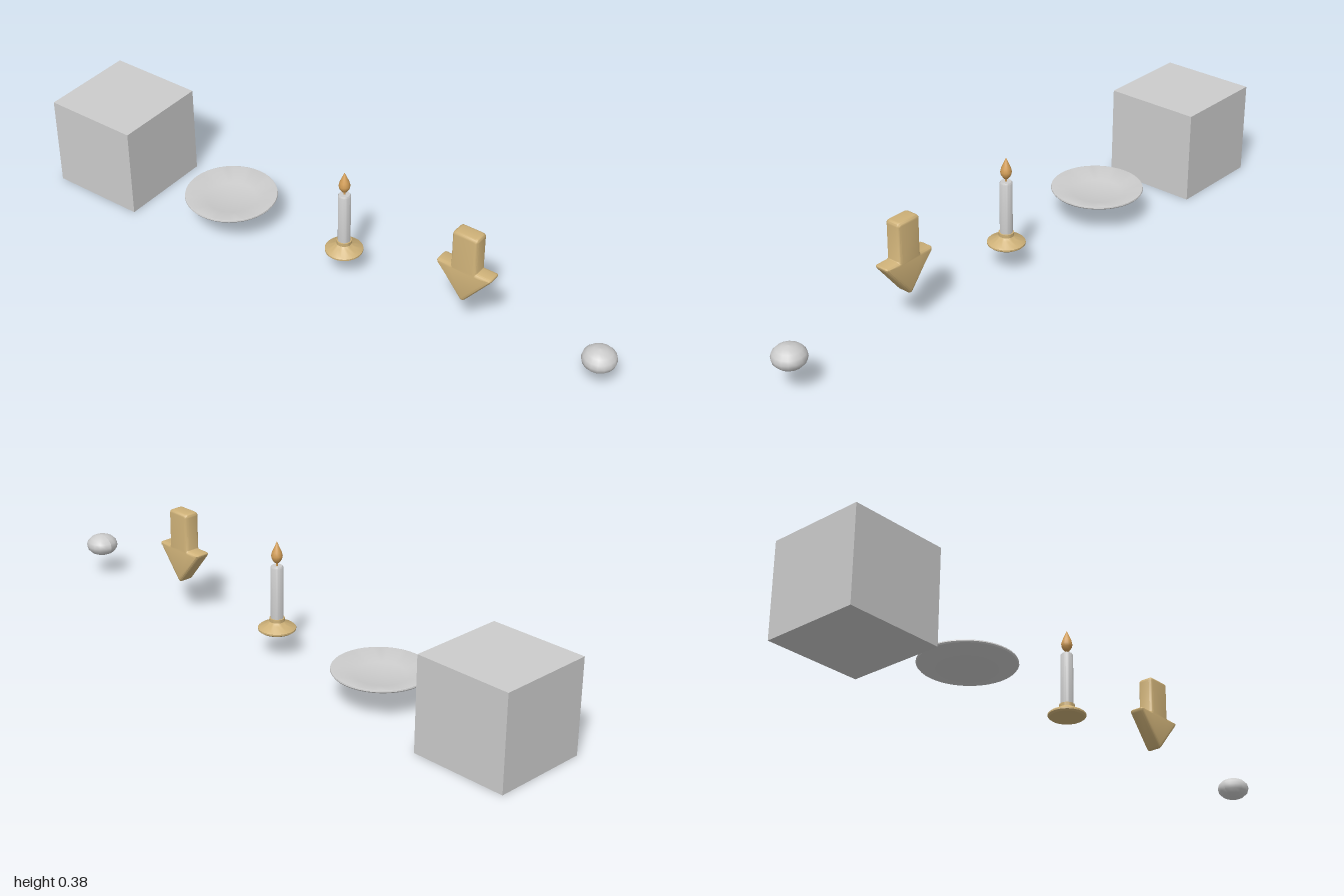
import * as THREE from 'three';
import { toCreasedNormals } from 'three/addons/utils/BufferGeometryUtils.js';

const material = (name, color) => {
  const m = new THREE.MeshStandardMaterial({ color });
  m.name = name;
  return m;
};

// Smooth lathe with sharp rims
const turned = (points, segments) => toCreasedNormals(
  new THREE.LatheGeometry(points.map(([r, y]) => new THREE.Vector2(r, y)), segments), 0.6);

// Closed outline whose corners are rounded by a given distance
function roundedShape(corners) {
  const shape = new THREE.Shape();
  corners.forEach(([x, y, d], i) => {
    const n = corners.length;
    const p = new THREE.Vector2(x, y);
    const toward = ([qx, qy]) => new THREE.Vector2(qx, qy).sub(p).setLength(d).add(p);
    const a = toward(corners[(i + n - 1) % n]);
    const b = toward(corners[(i + 1) % n]);
    if (i === 0) shape.moveTo(a.x, a.y);
    else shape.lineTo(a.x, a.y);
    shape.quadraticCurveTo(x, y, b.x, b.y);
  });
  shape.closePath();
  return shape;
}

export function createModel() {
  const grey = material('light grey', 0xcccccc);
  const gold = material('gold', 0xceb178);
  const amber = material('flame amber', 0xd49f58);

  const model = new THREE.Group();
  const add = (parent, name, geometry, mat, x = 0, y = 0, z = 0) => {
    const mesh = new THREE.Mesh(geometry, mat);
    mesh.name = name;
    mesh.position.set(x, y, z);
    parent.add(mesh);
    return mesh;
  };

  // Block
  add(model, 'block', new THREE.BoxGeometry(0.32, 0.305, 0.32), grey, -0.84, 0.1525);

  // Shallow dish with a flat well
  add(model, 'plate', turned([
    [0, 0.082], [0.08, 0.082], [0.147, 0.1], [0.15, 0.104], [0.149, 0.108],
    [0.145, 0.109], [0.08, 0.09], [0, 0.09],
  ], 40), grey, -0.395);

  // Candle in its holder
  const candle = new THREE.Group();
  candle.name = 'candleStand';
  candle.position.x = 0.053;
  model.add(candle);
  add(candle, 'holder', turned([
    [0, 0.083], [0.054, 0.083], [0.06, 0.088], [0.06, 0.093], [0.054, 0.098],
    [0.032, 0.107], [0.024, 0.115], [0.024, 0.126], [0, 0.126],
  ], 28), gold);
  add(candle, 'wax', turned([
    [0.02, 0.12], [0.02, 0.295], [0.017, 0.3], [0, 0.3],
  ], 24), grey);
  add(candle, 'wick', new THREE.CylinderGeometry(0.003, 0.003, 0.02, 8), amber, 0, 0.307);
  add(candle, 'flame', new THREE.LatheGeometry([
    [0, 0.306], [0.009, 0.312], [0.016, 0.323], [0.018, 0.333], [0.015, 0.346],
    [0.008, 0.362], [0, 0.38],
  ].map(([r, y]) => new THREE.Vector2(r, y)), 16), amber);

  // Rounded arrow pointing down
  const outline = roundedShape([
    [-0.043, 0.36, 0.012], [-0.043, 0.235, 0.003], [-0.1, 0.235, 0.018],
    [0, 0.112, 0.014],
    [0.1, 0.235, 0.018], [0.043, 0.235, 0.003], [0.043, 0.36, 0.012],
  ]);
  const arrow = new THREE.ExtrudeGeometry(outline, {
    depth: 0.034, curveSegments: 5, bevelEnabled: true,
    bevelThickness: 0.01, bevelSize: 0.01, bevelOffset: -0.01, bevelSegments: 3,
  });
  add(model, 'arrow', toCreasedNormals(arrow, 0.7), gold, 0.497, 0, -0.017);

  // Flattened pebble
  const pebble = new THREE.SphereGeometry(1, 16, 8);
  pebble.scale(0.053, 0.036, 0.053);
  pebble.computeVertexNormals();
  add(model, 'pebble', pebble, grey, 0.947, 0.113);

  return model;
}
